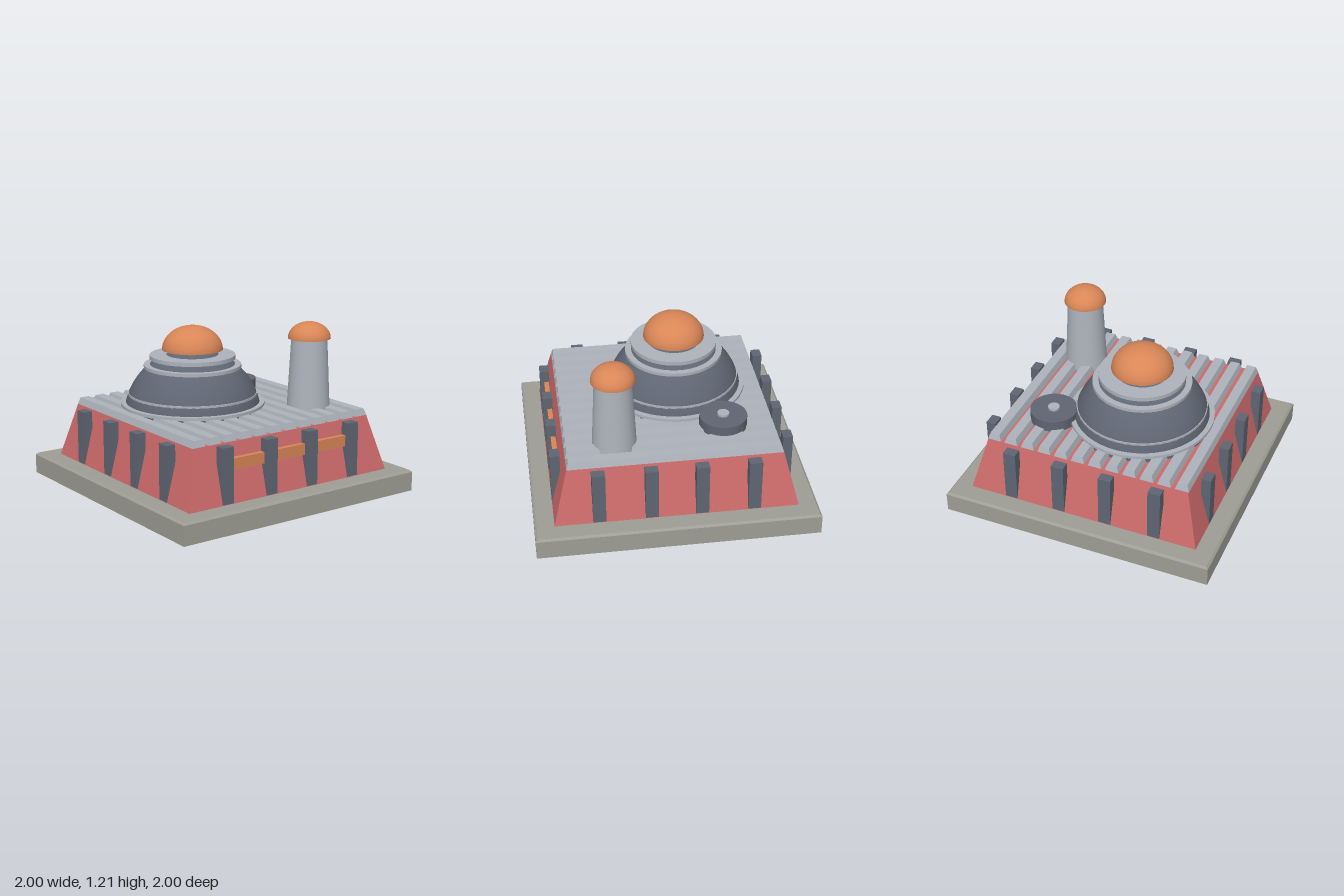
import * as THREE from 'three';

const mat = (name, color, side = THREE.FrontSide) => {
  const m = new THREE.MeshStandardMaterial({ color, side });
  m.name = name;
  return m;
};

export function createModel() {
  const root = new THREE.Group();
  const concrete = mat('concrete', 0x9f9e95);
  const red = mat('redWall', 0xcc6a6a);
  const light = mat('lightSteel', 0xaeb3bc);
  const dark = mat('darkSteel', 0x5f6673);
  const orange = mat('orange', 0xd98657);

  const add = (name, geometry, material, x = 0, y = 0, z = 0) => {
    const mesh = new THREE.Mesh(geometry, material);
    mesh.name = name;
    mesh.position.set(x, y, z);
    root.add(mesh);
    return mesh;
  };

  // Box whose top is smaller than its bottom; half sizes given for both
  const frustum = (bx, bz, tx, tz, y0, y1) => {
    const g = new THREE.BoxGeometry(2, 1, 2);
    const p = g.attributes.position;
    for (let i = 0; i < p.count; i++) {
      const top = p.getY(i) > 0;
      p.setXYZ(i, p.getX(i) * (top ? tx : bx), top ? y1 : y0, p.getZ(i) * (top ? tz : bz));
    }
    g.computeVertexNormals();
    return g;
  };

  const disc = (name, r0, r1, y0, y1, material, x, z) =>
    add(name, new THREE.CylinderGeometry(r1, r0, y1 - y0, 48), material, x, (y0 + y1) / 2, z);

  // Squashed half sphere with a closed underside
  const cap = (name, r, h, x, y, z) => {
    const dome = add(name, new THREE.SphereGeometry(r, 40, 14, 0, Math.PI * 2, 0, Math.PI / 2), orange, x, y, z);
    dome.scale.y = h / r;
    const under = add(name + 'Underside', new THREE.CircleGeometry(r, 40), orange, x, y, z);
    under.rotation.x = Math.PI / 2;
  };

  // Foundation slab with a small bevel
  add('slab', frustum(1, 1, 1, 1, 0, 0.14), concrete);
  add('slabBevel', frustum(1, 1, 0.985, 0.985, 0.14, 0.155), concrete);

  // Sloping walls
  add('walls', frustum(0.862, 0.862, 0.757, 0.757, 0.15, 0.553), red);

  // Corrugated roof
  for (let i = 0; i < 12; i++) {
    add('roofRidge', frustum(0.051, 0.757, 0.035, 0.742, 0.551, 0.6), light, -0.709 + i * 0.1289);
  }

  // Four buttresses on each side
  const buttress = new THREE.BoxGeometry(0.092, 0.4, 0.07);
  for (let side = 0; side < 4; side++) {
    const group = new THREE.Group();
    group.name = 'buttresses';
    group.rotation.y = side * Math.PI / 2;
    for (const x of [-0.547, -0.18, 0.174, 0.543]) {
      const b = new THREE.Mesh(buttress, dark);
      b.name = 'buttress';
      b.position.set(side > 1 ? -x : x, 0.35, 0.825);
      group.add(b);
    }
    root.add(group);
  }

  // Front band between the buttresses
  add('frontBand', new THREE.BoxGeometry(1.04, 0.08, 0.035), orange, 0, 0.418, 0.813);

  // Main dome with its rings
  const dx = -0.16, dz = -0.115;
  const points = [];
  for (let i = 0; i <= 24; i++) {
    const a = (i / 24) * 1.47 + 0.1;
    points.push(new THREE.Vector2(i === 24 ? 0 : Math.cos(a) * 0.503, 0.5 + Math.sin(a) * 0.503));
  }
  add('dome', new THREE.LatheGeometry(points, 64), dark, dx, 0, dz);
  disc('domeFoot', 0.525, 0.525, 0.598, 0.62, light, dx, dz);
  disc('domeBand', 0.472, 0.472, 0.663, 0.69, light, dx, dz);
  disc('domeRing', 0.355, 0.355, 0.872, 0.896, light, dx, dz);
  disc('domeUpperRing', 0.312, 0.312, 0.937, 0.966, light, dx, dz);
  cap('domeCap', 0.221, 0.175, dx, 1.002, dz);

  // Tapered tower
  disc('tower', 0.158, 0.13, 0.55, 1.095, light, 0.51, 0.4);
  cap('towerCap', 0.155, 0.12, 0.51, 1.09, 0.4);

  // Round roof vent
  disc('vent', 0.17, 0.17, 0.585, 0.668, dark, 0.412, -0.388);
  disc('ventHub', 0.042, 0.042, 0.66, 0.685, light, 0.412, -0.388);

  return root;
}
